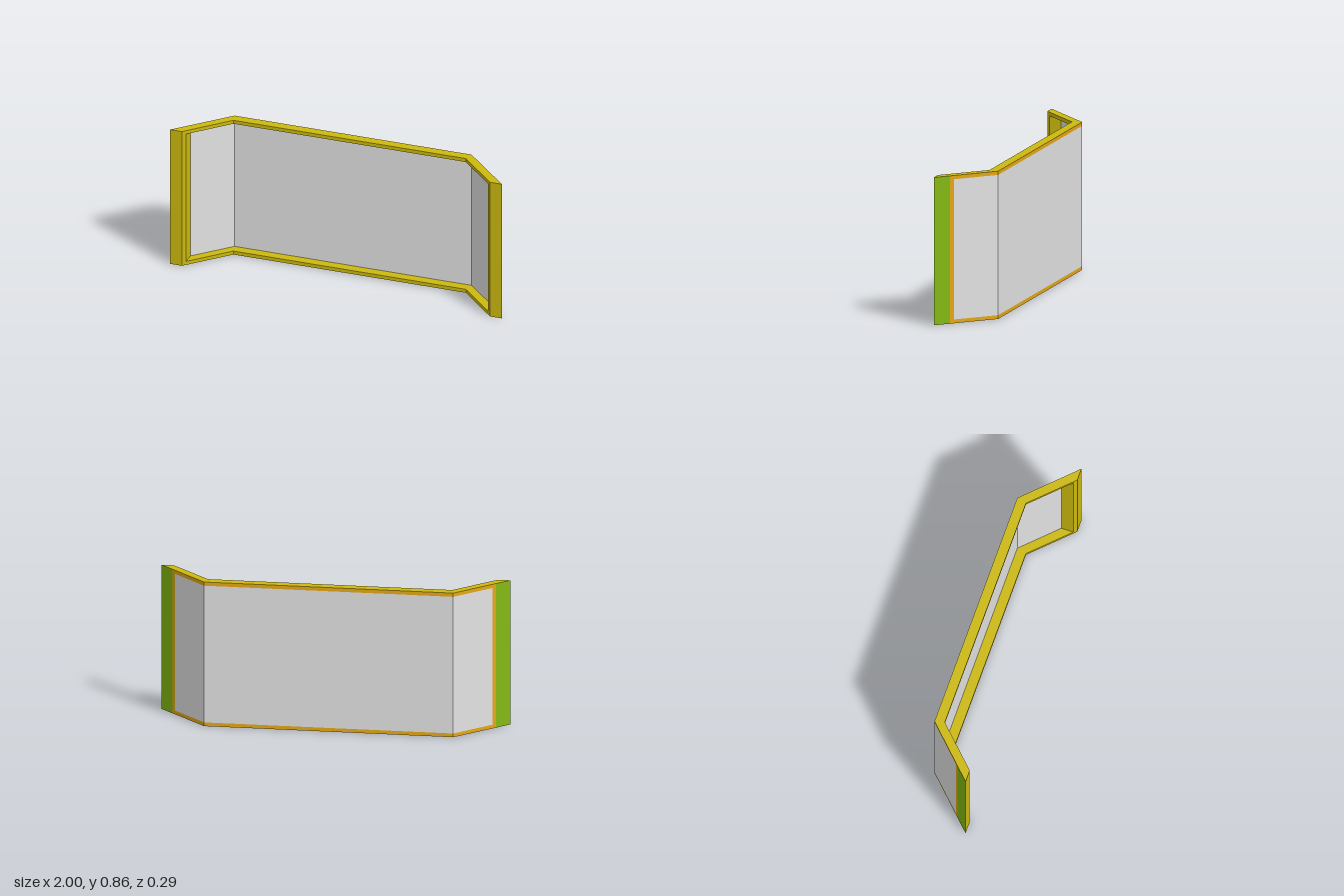
import * as THREE from 'three';
import { mergeGeometries } from 'three/addons/utils/BufferGeometryUtils.js';

const H = 0.857, RAIL = 0.022, TOP = H - RAIL;

// Plan points as [x, z], for the +x half of the bay
const TIP = [1, 0.143], TRIM = [0.927, 0.07], GLASS = [0.91, 0.053], BEND = [0.714, -0.143];
const IN_TIP = [0.928, 0.143], IN_JAMB = [0.91, 0.125], IN_BEND = [0.7, -0.086];

const flip = ([x, z]) => [-x, z];
// Complete a half path (tip to bend) across the centre, running +x to -x
const across = (half) => [...half, ...half.map(flip).reverse()];

// Vertical wall along a plan path; a path running +x faces +z
function wall(path, y0, y1) {
  const walls = path.slice(1).map((b, i) => {
    const a = path[i];
    const g = new THREE.PlaneGeometry(Math.hypot(b[0] - a[0], b[1] - a[1]), y1 - y0);
    g.rotateY(-Math.atan2(b[1] - a[1], b[0] - a[0]));
    return g.translate((a[0] + b[0]) / 2, (y0 + y1) / 2, (a[1] + b[1]) / 2);
  });
  return mergeGeometries(walls);
}

// The wall and its mirror image on the other side
const wallPair = (path, y0, y1) =>
  mergeGeometries([wall(path, y0, y1), wall(path.map(flip).reverse(), y0, y1)]);

// The same wall on the bottom and the top rail
const railPair = (path) => mergeGeometries([wall(path, 0, RAIL), wall(path, TOP, H)]);

// Horizontal face with the given plan outline, facing up or down
function slab(outline, y, up) {
  const s = up ? -1 : 1;
  const shape = new THREE.Shape(outline.map(([x, z]) => new THREE.Vector2(x, s * z)));
  return new THREE.ShapeGeometry(shape).rotateX(s * Math.PI / 2).translate(0, y, 0);
}

export function createModel() {
  const model = new THREE.Group();
  model.name = 'bayWindow';

  const material = (name, color, side = THREE.FrontSide) => {
    const m = new THREE.MeshStandardMaterial({ color, side });
    m.name = name;
    return m;
  };
  const yellow = material('frameYellow', 0xcbb90f);
  const orange = material('trimOrange', 0xe4a816);
  const green = material('endGreen', 0x84b812);
  const grey = material('paneGrey', 0xe2e2e2, THREE.DoubleSide);

  const add = (name, geometry, mat) => {
    const mesh = new THREE.Mesh(geometry, mat);
    mesh.name = name;
    model.add(mesh);
  };

  // Frame: top and bottom rails with their inner ledges
  const inner = across([IN_TIP, IN_BEND]).reverse();
  const plan = [...across([TIP, BEND]), ...inner];
  const ledge = [...across([GLASS, BEND]), ...across([IN_JAMB, IN_BEND]).reverse()];
  add('railFronts', railPair(inner), yellow);
  add('frameTop', slab(plan, H, true), yellow);
  add('frameBottom', slab(plan, 0, false), yellow);
  add('lowerLedge', slab(ledge, RAIL, true), yellow);
  add('upperLedge', slab(ledge, TOP, false), yellow);

  // End posts: front faces, inner strips and reveals beside the panes
  add('postFronts', wallPair([IN_TIP, TIP], 0, H), yellow);
  add('postJambs', wallPair([GLASS, IN_JAMB, IN_TIP], RAIL, TOP), yellow);

  // Outer side: green post faces and the orange border round the panes
  add('postBacks', wallPair([TIP, TRIM], 0, H), green);
  add('railBacks', railPair(across([TRIM, BEND])), orange);
  add('sideTrim', wallPair([TRIM, GLASS], RAIL, TOP), orange);

  // Panes, flush with the outer side
  add('panes', wall(across([GLASS, BEND]), RAIL, TOP), grey);

  return model;
}
